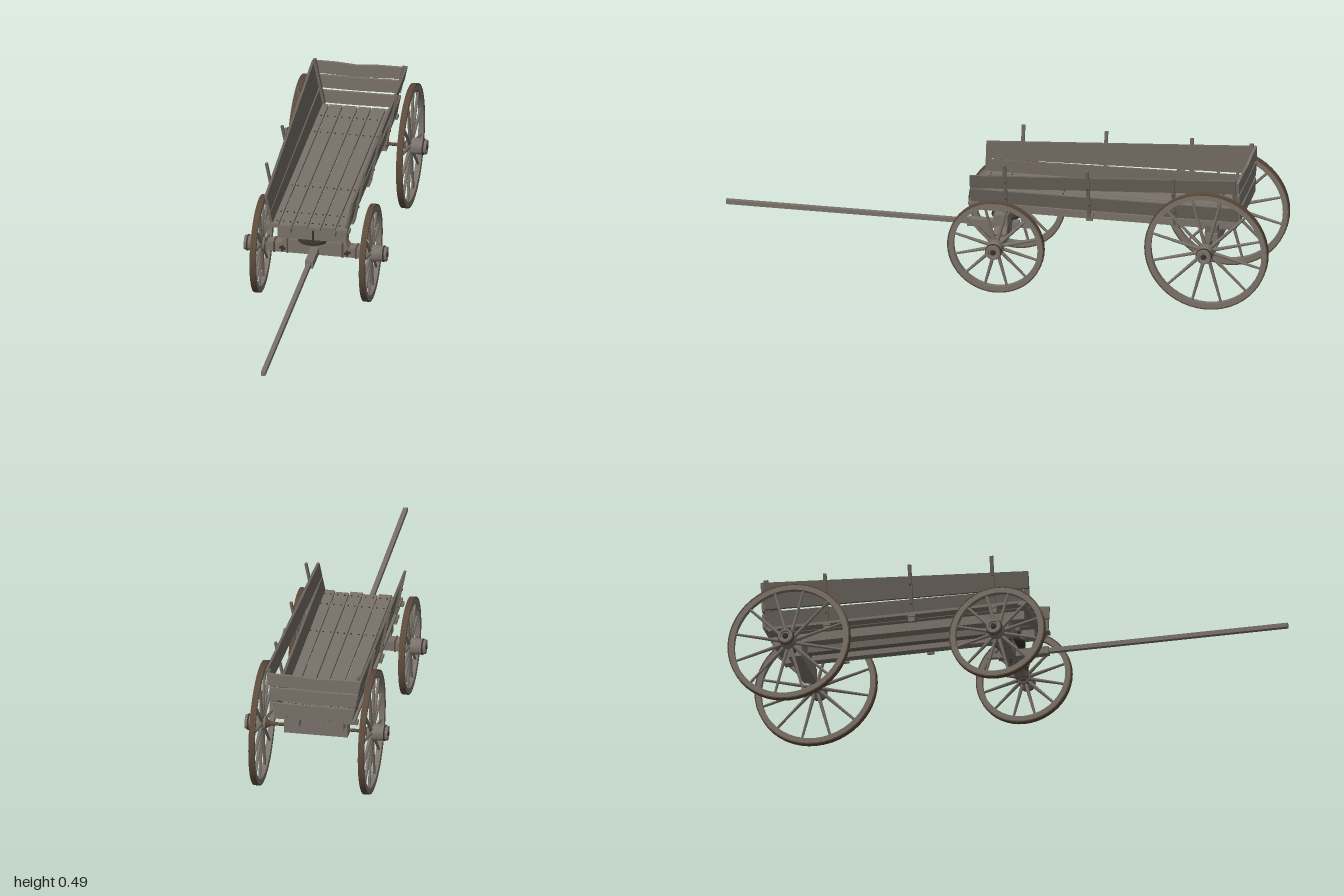
import * as THREE from 'three';
import { toCreasedNormals } from 'three/addons/utils/BufferGeometryUtils.js';

const mat = (name, color) => Object.assign(new THREE.MeshStandardMaterial({ color }), { name });

export function createModel() {
  const wood = mat('weathered wood', 0x7a726a);
  const sideWood = mat('dark weathered wood', 0x6b645c);
  const tireMat = mat('rusty tire', 0x5c4a3b);
  const iron = mat('dark iron', 0x3a322b);
  const cart = new THREE.Group();
  cart.name = 'wagon';

  const add = (parent, name, geo, material) => {
    const m = new THREE.Mesh(geo, material);
    m.name = name;
    parent.add(m);
    return m;
  };
  // box given by its min and max on each axis
  const box = (name, [x0, x1], [y0, y1], [z0, z1], material = wood, parent = cart) => {
    const m = add(parent, name, new THREE.BoxGeometry(x1 - x0, y1 - y0, z1 - z0), material);
    m.position.set((x0 + x1) / 2, (y0 + y1) / 2, (z0 + z1) / 2);
    return m;
  };
  const lathe = (pts, segments) => toCreasedNormals(
    new THREE.LatheGeometry(pts.map(([r, h]) => new THREE.Vector2(r, h)), segments), 0.6);
  const ring = (inner, outer, h) => lathe(
    [[inner, -h], [outer, -h], [outer, h], [inner, h], [inner, -h]], 48);

  // ---- wheels: local y runs outwards along the axle ----
  const wheel = (name, side, r, z) => {
    const g = new THREE.Group();
    g.name = name;
    add(g, 'felloe', ring(r - 0.023, r - 0.004, 0.0095), wood);
    add(g, 'tire', ring(r - 0.0045, r, 0.0105), tireMat);
    add(g, 'hub', lathe([[0, -0.014], [0.023, -0.014], [0.031, 0.012], [0.026, 0.06],
      [0.018, 0.06], [0.016, 0.055], [0, 0.055]], 20), wood);
    add(g, 'axleFlare', lathe([[0.006, -0.05], [0.007, -0.035], [0.013, -0.023], [0.02, -0.014]], 16), tireMat);
    add(g, 'axleCap', new THREE.CylinderGeometry(0.009, 0.011, 0.008, 10), iron).position.y = 0.058;
    [[0.0275, -0.003], [0.0285, 0.048]].forEach(([br, y]) => {
      add(g, 'hubBand', ring(br - 0.003, br + 0.001, 0.0025), iron).position.y = y;
    });
    const len = r - 0.04;
    const spokeGeo = new THREE.CylinderGeometry(0.0045, 0.007, len, 8);
    spokeGeo.translate(0, 0.022 + len / 2, 0);
    spokeGeo.rotateX(Math.PI / 2);
    for (let i = 0; i < 12; i++) {
      add(g, 'spoke', spokeGeo, wood).rotation.y = (i + 0.5) * Math.PI / 6;
    }
    g.rotation.z = -side * Math.PI / 2;
    g.position.set(side * 0.1975, r, z);
    cart.add(g);
  };
  const FZ = -0.015, RZ = -0.777;
  for (const s of [1, -1]) {
    const n = s > 0 ? 'left' : 'right';
    wheel(n + 'FrontWheel', s, 0.175, FZ);
    wheel(n + 'RearWheel', s, 0.2235, RZ);
  }

  // ---- front axle, bolster and turning gear ----
  const beam = new THREE.Shape([[-0.178, 0.16], [0.178, 0.16], [0.178, 0.187], [0.168, 0.195], [0.122, 0.195],
    [0.112, 0.212], [-0.112, 0.212], [-0.122, 0.195], [-0.168, 0.195], [-0.178, 0.187]]
    .map(p => new THREE.Vector2(...p)));
  add(cart, 'frontAxle', new THREE.ExtrudeGeometry(beam, { depth: 0.046, bevelEnabled: false }), wood)
    .position.z = FZ - 0.023;
  for (const x of [-0.148, -0.1, 0.1, 0.148]) {
    box('axleStrap', [x - 0.003, x + 0.003], [0.158, Math.abs(x) < 0.12 ? 0.214 : 0.197], [FZ - 0.025, FZ + 0.025], tireMat);
  }
  for (const s of [1, -1]) {
    const bolt = box('axleBolt', [s * 0.117 - 0.011, s * 0.117 + 0.011], [0.174, 0.181], [0.008, 0.014], iron);
    bolt.rotation.z = s * 0.3;
    box('axleBoltBar', [s * 0.117 - 0.0035, s * 0.117 + 0.0035], [0.168, 0.187], [0.008, 0.016], iron);
  }
  add(cart, 'turnPlate', new THREE.CylinderGeometry(0.055, 0.055, 0.008, 24), iron).position.set(-0.01, 0.214, FZ);
  box('frontBolster', [-0.135, 0.115], [0.217, 0.26], [FZ - 0.025, FZ + 0.025]);
  add(cart, 'kingPin', new THREE.CylinderGeometry(0.004, 0.004, 0.125, 8), iron).position.set(0, 0.21, FZ);
  box('bolsterClip', [-0.01, -0.003], [0.215, 0.272], [0.01, 0.015], iron);

  // ---- tongue ----
  box('tongue', [-0.008, 0.008], [0.169, 0.185], [-0.1, 1]);
  box('tongueSocket', [-0.0145, 0.0145], [0.163, 0.19], [-0.06, 0.125]);

  // ---- rear axle ----
  box('rearAxle', [-0.115, 0.115], [0.205, 0.255], [RZ - 0.024, RZ + 0.024]);
  const rod = add(cart, 'rearAxleRod', new THREE.CylinderGeometry(0.006, 0.006, 0.34, 12), tireMat);
  rod.rotation.z = Math.PI / 2;
  rod.position.set(0, 0.2235, RZ);
  box('rearBolster', [-0.12, 0.108], [0.255, 0.28], [RZ - 0.022, RZ + 0.022], sideWood);

  // ---- bed: rails, cross bars, planks and bolts ----
  box('leftRail', [0.05, 0.082], [0.26, 0.292], [-0.86, 0.06]);
  box('rightRail', [-0.11, -0.078], [0.26, 0.292], [-0.86, 0.06]);
  box('reachPole', [-0.014, 0.014], [0.262, 0.286], [-0.8, 0.02], sideWood);
  const bars = [0.065, -0.04, -0.34, -0.65, -0.85];
  for (const z of bars) box('crossBar', [-0.162, 0.139], [0.291, 0.301], [z - 0.014, z + 0.014]);
  const edges = [-0.157, -0.115, -0.065, -0.01, 0.038, 0.09, 0.135];
  const boltGeo = new THREE.CylinderGeometry(0.003, 0.003, 0.003, 6);
  for (let i = 0; i < 6; i++) {
    box('floorPlank', [edges[i] + 0.002, edges[i + 1] - 0.002], [0.301, 0.311], [-0.875, 0.088 + 0.01 * (i % 2)]);
    for (const z of [0.065, -0.01, -0.22, -0.65, -0.78]) for (const t of [0.25, 0.75]) {
      add(cart, 'floorBolt', boltGeo, iron)
        .position.set(edges[i] + t * (edges[i + 1] - edges[i]), 0.312, z);
    }
  }

  // ---- leaning side boards: y runs from front [low, high] to rear [low, high] ----
  const leanX = (side, y) => -0.006 + side * (0.136 + (y - 0.315) * 0.2);
  const sideBoard = (name, side, front, rear) => {
    const geo = new THREE.BoxGeometry(0.009, 1, 0.965);
    const p = geo.attributes.position;
    for (let i = 0; i < p.count; i++) {
      const ends = p.getZ(i) > 0 ? front : rear;
      const y = p.getY(i) > 0 ? ends[1] : ends[0];
      p.setXYZ(i, leanX(side, y) + p.getX(i), y, p.getZ(i) - 0.393);
    }
    geo.computeVertexNormals();
    add(cart, name, geo, sideWood);
  };
  sideBoard('leftLowerBoard', 1, [0.315, 0.366], [0.315, 0.37]);
  sideBoard('leftUpperBoard', 1, [0.37, 0.422], [0.435, 0.488]);
  sideBoard('rightLowerBoard', -1, [0.315, 0.354], [0.315, 0.37]);
  sideBoard('rightUpperBoard', -1, [0.358, 0.418], [0.38, 0.476]);

  // ---- stakes held by the cross bars ----
  const lean = Math.atan(0.2);
  for (const s of [1, -1]) for (const z of [-0.04, -0.34, -0.65]) {
    const stake = box('stake', [-0.0045, 0.0045], [-0.1, 0.1], [z - 0.006, z + 0.006], sideWood);
    stake.position.set(leanX(s, 0.385) + s * 0.009, 0.385, z);
    stake.rotation.z = -s * lean;
    box('stakeFoot', [s * 0.14 - 0.012 - 0.005, s * 0.14 - 0.012 + 0.005], [0.274, 0.293], [z - 0.012, z + 0.012]);
    for (const y of [0.34, 0.41]) {
      const b = add(cart, 'stakeBolt', boltGeo, iron);
      b.rotation.z = Math.PI / 2;
      b.position.set(leanX(s, y) + s * 0.0145, y, z);
    }
  }

  // ---- tail boards, each slightly warped along its edges ----
  [[0.315, 0.364, 0], [0.374, 0.424, -0.002], [0.431, 0.478, -0.006]].forEach(([y0, y1, sag]) => {
    const xl = y => leanX(-1, y) - 0.003, xr = y => leanX(1, y) + 0.001;
    const shape = new THREE.Shape([[xl(y0), y0], [-0.02, y0 + sag * 0.7], [xr(y0), y0 + 0.003],
      [xr(y1), y1 + 0.001], [0.06, y1], [-0.02, y1 + sag], [-0.09, y1 - 0.001], [xl(y1), y1 - 0.001]]
      .map(p => new THREE.Vector2(...p)));
    add(cart, 'tailBoard', new THREE.ExtrudeGeometry(shape, { depth: 0.01, bevelEnabled: false }), wood)
      .position.z = -0.887;
  });
  for (const s of [1, -1]) {
    const post = box('tailPost', [-0.005, 0.005], [-0.088, 0.088], [-0.877, -0.862], sideWood);
    post.position.set(leanX(s, 0.402) - s * 0.0095, 0.402, -0.869);
    post.rotation.z = -s * lean;
  }
  return cart;
}
